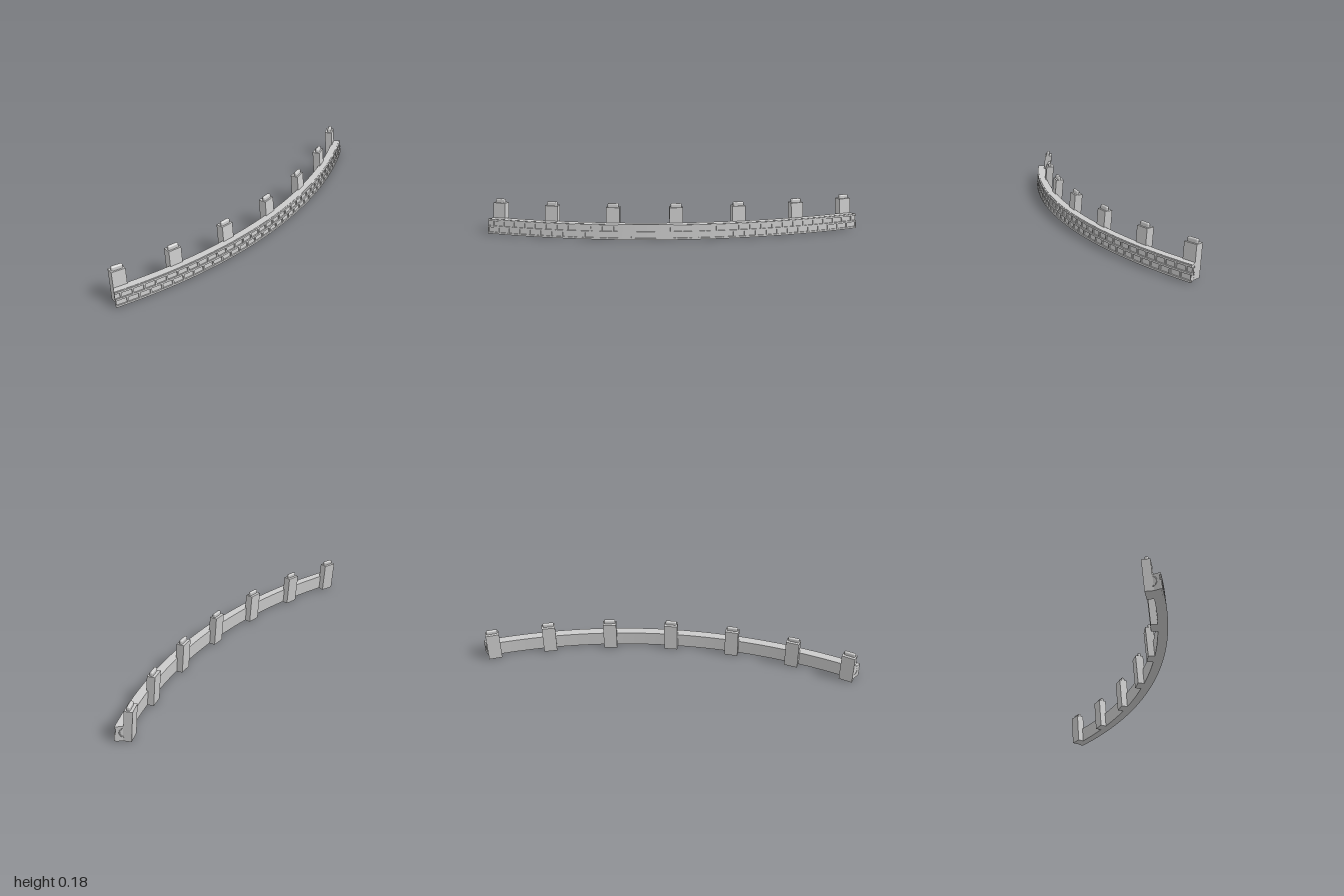
import * as THREE from 'three';
import { RoundedBoxGeometry } from 'three/addons/geometries/RoundedBoxGeometry.js';
import { mergeGeometries } from 'three/addons/utils/BufferGeometryUtils.js';

const R = 2.598;       // radius of the front face
const CZ = -2.465;     // z of the arc's centre
const END = 0.394;     // half angle of the arc
const LEAN = 0.085;    // backward lean per unit of height
const H = 0.08;        // wall height

const material = new THREE.MeshStandardMaterial({ color: 0xcccccc, side: THREE.DoubleSide });

// End faces are cut at a slant, so the end angle shrinks towards the back
const endAngle = (r) => END - 0.146 * Math.max(0, R - r);

// Box bent along the arc and leaning back
function arcBox(a0, a1, y0, y1, r0, r1, segs = 1) {
  const geo = new THREE.BoxGeometry(1, 1, 1, segs, 1, 1);
  const p = geo.attributes.position;
  for (let i = 0; i < p.count; i++) {
    const y = THREE.MathUtils.lerp(y0, y1, p.getY(i) + 0.5);
    const r = THREE.MathUtils.lerp(r0, r1, p.getZ(i) + 0.5);
    const limit = endAngle(r);
    const a = THREE.MathUtils.clamp(THREE.MathUtils.lerp(a0, a1, p.getX(i) + 0.5), -limit, limit);
    const rr = r - LEAN * y;
    p.setXYZ(i, rr * Math.sin(a), y, rr * Math.cos(a) + CZ);
  }
  geo.computeVertexNormals();
  return geo;
}

// Place a straight part on the arc: lean it, push it out, turn it
function placeOnArc(geo, angle, radius) {
  const shear = new THREE.Matrix4().set(
    1, 0, 0, 0,
    0, 1, 0, 0,
    0, -LEAN, 1, radius,
    0, 0, 0, 1);
  return geo.applyMatrix4(shear).rotateY(angle).translate(0, 0, CZ);
}

export function createModel() {
  const model = new THREE.Group();
  model.name = 'curvedWall';
  const add = (geo, name, parent = model) => {
    const mesh = new THREE.Mesh(geo, material);
    mesh.name = name;
    parent.add(mesh);
    return mesh;
  };

  // Curved backing wall
  add(arcBox(-END, END, 0, H, R - 0.04, R, 64), 'wall');

  // Raised joint lines running along the front
  const courses = [0.006, 0.04, 0.074];
  const ridges = courses.map((y) =>
    arcBox(-END, END, y - 0.0045, y + 0.0045, R - 0.002, R + 0.007, 64));
  add(mergeGeometries(ridges), 'horizontalJoints');

  // Short upright joints, staggered between the two rows
  const bricks = 34;
  const step = (2 * END) / bricks;
  const uprights = [];
  for (let row = 0; row < 2; row++) {
    for (let i = 0; i <= bricks; i++) {
      const a = -END + (i + row * 0.5) * step;
      if (a > END + 0.001) continue;
      uprights.push(arcBox(a - 0.0016, a + 0.0016, courses[row], courses[row + 1], R - 0.002, R + 0.006));
    }
  }
  add(mergeGeometries(uprights), 'uprightJoints');

  // Leaning posts with a rounded tab on top
  for (const a of [-0.376, -0.259, -0.13, 0, 0.13, 0.259, 0.376]) {
    const post = new THREE.Group();
    post.name = 'post';
    const body = new THREE.BoxGeometry(0.07, 0.16, 0.041).translate(0, 0.08, 0);
    add(placeOnArc(body, a, 2.546), 'postBody', post);
    const tab = new RoundedBoxGeometry(0.058, 0.036, 0.018, 3, 0.007).translate(0, 0.162, 0);
    add(placeOnArc(tab, a, 2.549), 'postTab', post);
    model.add(post);
  }

  // End blocks with a round socket rim on the slanted face
  for (const side of [-1, 1]) {
    const span = side > 0 ? [0.365, END] : [-END, -0.365];
    add(arcBox(...span, 0, H, 2.526, R - 0.02), 'endBlock');

    const rim = add(new THREE.TorusGeometry(0.0235, 0.003, 8, 32), 'socketRim');
    rim.position.set(side * 0.968, 0.046, -0.098);
    rim.rotation.y = side * Math.atan2(0.73, -0.68);
  }
  return model;
}
